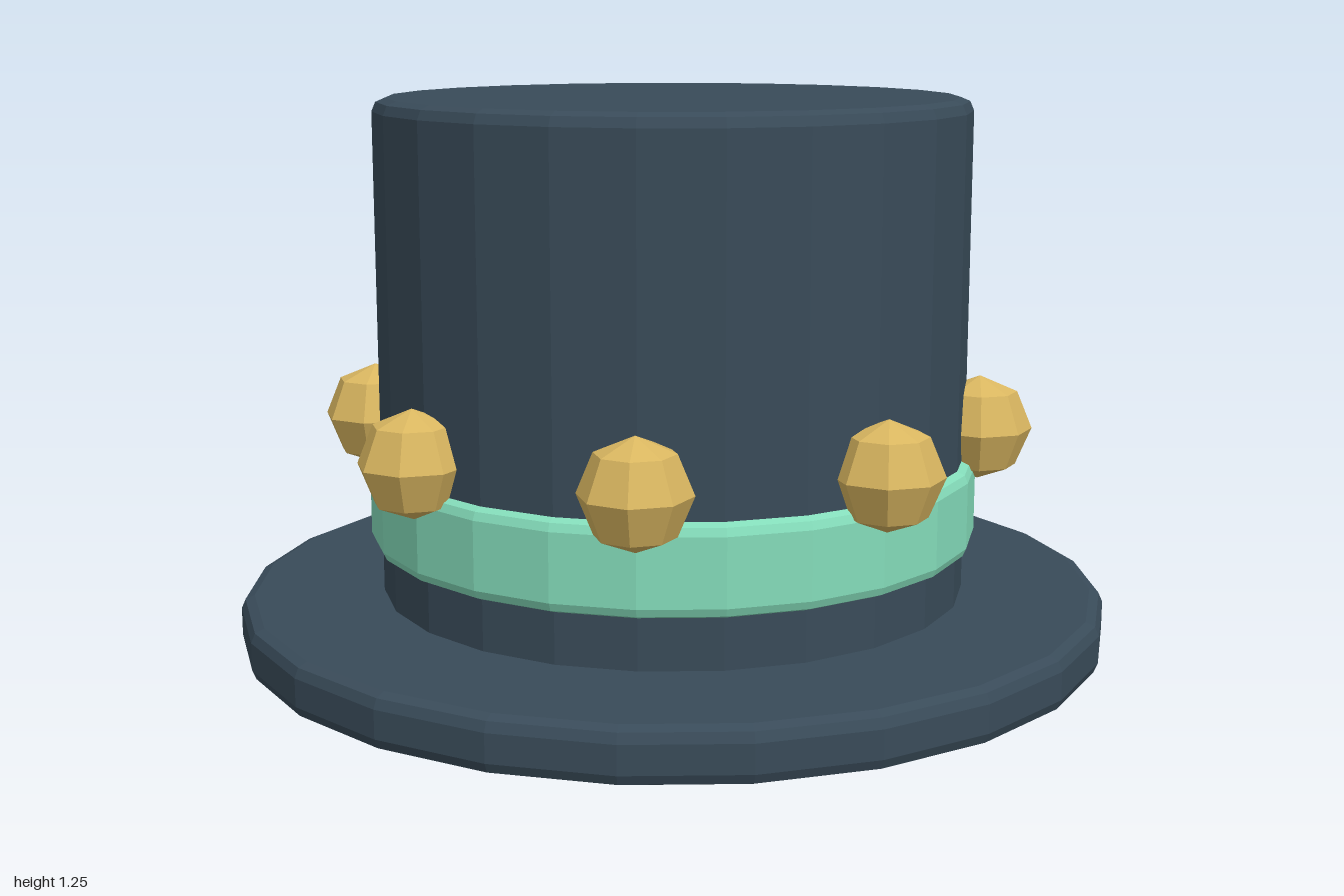
import * as THREE from 'three';

const SIDES = 24;

// Closed drum with a two-step bevel on the rims that are asked for
function drum(radius, y0, y1, bevel, bevelBottom = true) {
  const b = bevel, k = b * 0.3;
  const bottom = bevelBottom
    ? [[0, y0], [radius - b, y0], [radius - k, y0 + k], [radius, y0 + b]]
    : [[0, y0], [radius, y0]];
  const top = [[radius, y1 - b], [radius - k, y1 - k], [radius - b, y1], [0, y1]];
  const profile = [...bottom, ...top].map(([x, y]) => new THREE.Vector2(x, y));
  return new THREE.LatheGeometry(profile, SIDES);
}

export function createModel() {
  const felt = new THREE.MeshStandardMaterial({ name: 'dark felt', color: 0x394b59, flatShading: true });
  const ribbon = new THREE.MeshStandardMaterial({ name: 'mint ribbon', color: 0x84dcba, flatShading: true });
  const gold = new THREE.MeshStandardMaterial({ name: 'gold', color: 0xd9b660, flatShading: true });

  const hat = new THREE.Group();
  hat.name = 'topHat';
  const add = (name, geometry, material) => {
    const mesh = new THREE.Mesh(geometry, material);
    mesh.name = name;
    hat.add(mesh);
    return mesh;
  };

  add('brim', drum(1, 0, 0.122, 0.03), felt);
  add('crown', drum(0.675, 0.06, 1.25, 0.03, false), felt);
  add('band', drum(0.7, 0.235, 0.435, 0.025), ribbon);

  // Ring of eight faceted beads just above the band
  const beadGeometry = new THREE.SphereGeometry(0.12, 8, 4);
  for (let i = 0; i < 8; i++) {
    const a = (i * Math.PI) / 4;
    const bead = add('bead' + (i + 1), beadGeometry, gold);
    bead.position.set(Math.sin(a) * 0.705, 0.5, Math.cos(a) * 0.705);
  }
  return hat;
}
